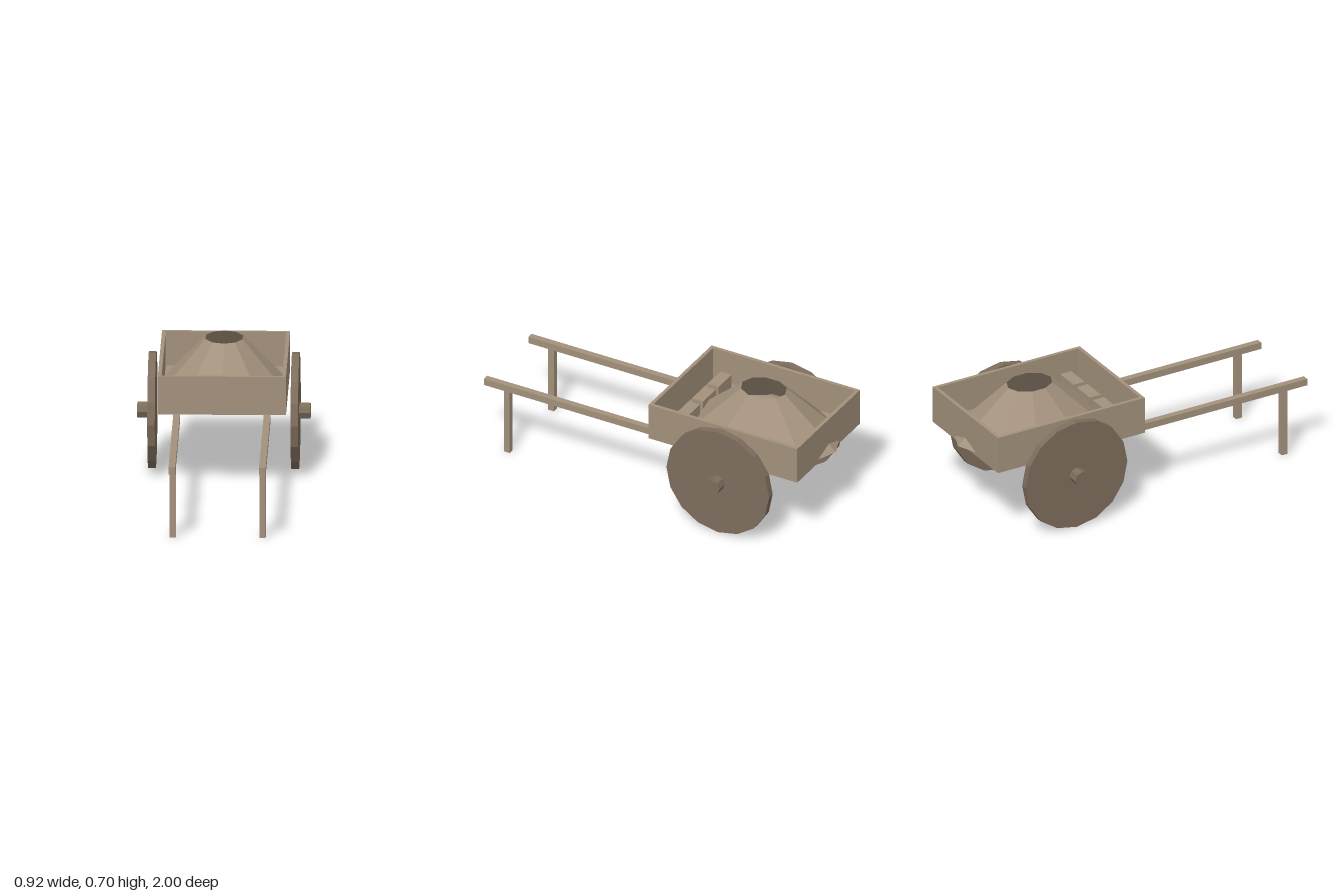
import * as THREE from 'three';

export function createModel() {
  const cart = new THREE.Group();
  cart.name = 'handCart';

  const wood = new THREE.MeshStandardMaterial({ color: 0xa3917c, flatShading: true, side: THREE.DoubleSide });
  wood.name = 'light wood';
  const darkWood = new THREE.MeshStandardMaterial({ color: 0x7d6d5c, flatShading: true });
  darkWood.name = 'dark wood';

  const add = (name, geometry, material, x, y, z) => {
    const mesh = new THREE.Mesh(geometry, material);
    mesh.name = name;
    mesh.position.set(x, y, z);
    cart.add(mesh);
    return mesh;
  };
  // Box given by its extents on each axis
  const box = (name, [x0, x1], [y0, y1], [z0, z1]) =>
    add(name, new THREE.BoxGeometry(x1 - x0, y1 - y0, z1 - z0), wood,
      (x0 + x1) / 2, (y0 + y1) / 2, (z0 + z1) / 2);

  // Open tray: floor and four thin walls
  const W = 0.34, T = 0.02, back = -0.955, front = -0.05, low = 0.415, high = 0.625;
  box('trayFloor', [-W, W], [low, low + T], [back, front]);
  box('trayFrontWall', [-W, W], [low + T, high], [front - T, front]);
  box('trayBackWall', [-W, W], [low + T, high], [back, back + T]);

  // Heap: open ten-sided cone, stretched along the tray
  const heap = add('heap', new THREE.CylinderGeometry(0.13, 0.44, 0.265, 10, 1, true), wood, 0, 0.5675, -0.56);
  heap.scale.x = 0.795;

  // Three blocks in front of the heap
  for (const x of [-0.17, 0, 0.17]) {
    box('block', [x - 0.07, x + 0.07], [low + T, 0.55], [-0.228, -0.16]);
  }

  for (const s of [-1, 1]) {
    const side = s > 0 ? 'left' : 'right';
    const span = (a, b) => (s > 0 ? [a, b] : [-b, -a]);
    box(side + 'TrayWall', span(W - T, W), [low + T, high], [back + T, front - T]);

    // Pull bar with its prop leg
    box(side + 'Handle', span(0.222, 0.258), [0.38, 0.418], [-0.075, 1]);
    box(side + 'Leg', span(0.222, 0.255), [0, 0.38], [0.845, 0.88]);

    // Solid wheel and hub
    const wheel = add(side + 'Wheel', new THREE.CylinderGeometry(0.3125, 0.3125, 0.04, 16), darkWood, s * 0.38, 0.3125, -0.505);
    const hub = add(side + 'Hub', new THREE.CylinderGeometry(0.044, 0.044, 0.06, 8), darkWood, s * 0.43, 0.3125, -0.505);
    wheel.rotation.z = hub.rotation.z = Math.PI / 2;
  }
  return cart;
}
